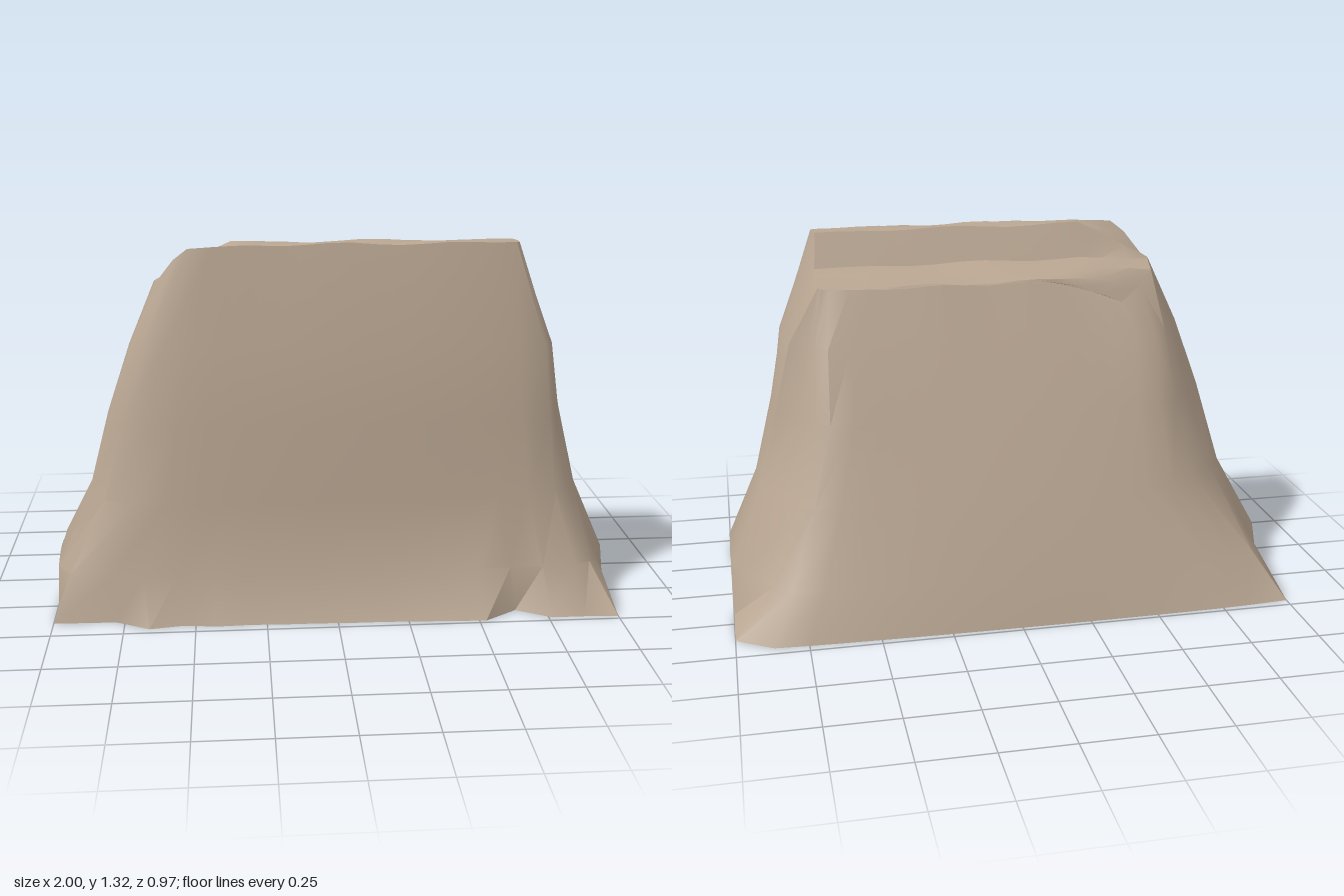
import * as THREE from 'three';
import { mergeVertices, toCreasedNormals } from 'three/addons/utils/BufferGeometryUtils.js';

const COLS = 14;
const HEIGHTS = [0, 0.16, 0.42, 0.7, 0.95, 1.31];

// How far the middle of the front and back walls bulges past the corners, per height
const FRONT_BOW = [0, 0.01, 0.04, 0.04, 0.035, 0];
const BACK_BOW = [0.015, 0.05, 0.05, 0.015, 0.005, 0.015];

// End outlines from front corner to back corner, one row per height: [x, z, own height if different]
const RIGHT = [
  [[.88, .475], [1, .48], [1, .27], [1, .2, .155], [1, .05, .16], [1, -.1, .155], [1, -.175], [1, -.38], [.87, -.46]],
  [[.86, .385], [.92, .35], [.96, .28], [1, .2], [1, .05], [1, -.1], [.96, -.17], [.86, -.31], [.8, -.37]],
  [[.79, .33], [.84, .3], [.87, .25], [.885, .2], [.885, .1], [.87, 0], [.8, -.14], [.75, -.23], [.7, -.27]],
  [[.76, .312], [.785, .29], [.805, .25], [.815, .21], [.82, .1], [.81, 0], [.73, -.08], [.68, -.16], [.63, -.2]],
  [[.74, .297], [.76, .28], [.77, .25], [.77, .2], [.77, .1], [.75, 0], [.69, -.03], [.66, -.065], [.62, -.1]],
  [[.63, .265], [.64, .255], [.64, .22], [.63, .19], [.64, .13, 1.19], [.65, .05, 1.175], [.64, 0, 1.15], [.63, -.005, 1.145], [.6, -.01, 1.14]],
];
const LEFT = [
  [[-.78, .405], [-1, .4], [-1, .25], [-1, .12], [-1, .05, .165], [-1, -.1, .155], [-1, -.18], [-1, -.465], [-.85, -.475]],
  [[-.8, .385], [-.94, .34], [-.99, .26], [-1, .12], [-1, .05], [-1, -.1], [-.95, -.18], [-.9, -.35], [-.82, -.39]],
  [[-.7, .345], [-.81, .3], [-.87, .25], [-.875, .15], [-.875, .05], [-.86, -.05], [-.8, -.14], [-.7, -.24], [-.6, -.29]],
  [[-.65, .325], [-.74, .29], [-.79, .24], [-.8, .15], [-.8, .06], [-.78, 0], [-.72, -.07], [-.65, -.15], [-.57, -.2]],
  [[-.6, .305], [-.67, .28], [-.71, .24], [-.715, .15], [-.71, .08], [-.68, .02], [-.63, -.04], [-.58, -.08], [-.5, -.105]],
  [[-.5, .265, 1.3], [-.55, .25, 1.26], [-.61, .22, 1.18], [-.62, .16, 1.175], [-.61, .12, 1.17], [-.6, .05, 1.15], [-.55, .02, 1.1], [-.47, -.02, 1.05], [-.37, -.01, 1.1]],
];
// Hem of the front face, flared except at the tucks
const FRONT_HEM = [.405, .47, .45, .465, .46, .465, .465, .47, .47, .475, .48, .485, .405, .475, .475];

const lift = ([x, z, y], level) => new THREE.Vector3(x, y ?? HEIGHTS[level], z);

// A row of points from the left end to the right end
function crossRow(level, k) {
  const a = lift(LEFT[level][k], level), b = lift(RIGHT[level][k], level);
  const top = level === HEIGHTS.length - 1;
  return Array.from({ length: COLS + 1 }, (_, i) => {
    const t = i / COLS;
    const p = a.clone().lerp(b, t);
    const inner = Math.sin(Math.PI * t);
    const bow = Math.pow(Math.max(inner, 0), 0.6);
    if (top) {
      // The ridge and shelf level out soon after the left end
      const s = Math.min(1, t / 0.2);
      p.y = a.y + (b.y - a.y) * s + 0.006 * Math.sin(t * 17 + k * 1.3) * inner;
      p.z = a.z + (b.z - a.z) * s;
    }
    if (k === 0) p.z = level === 0 ? FRONT_HEM[i] : p.z + FRONT_BOW[level] * bow;
    if (k > 6) p.z -= BACK_BOW[level] * bow;
    return p;
  });
}

// Closed outline of the walls at one level
function wallLoop(level) {
  const right = RIGHT[level].slice(1, -1).map((p) => lift(p, level));
  const left = LEFT[level].slice(1, -1).map((p) => lift(p, level)).reverse();
  const front = crossRow(level, 0), back = crossRow(level, 8).reverse();
  return [...front, ...right, ...back, ...left, front[0].clone()];
}

// Skin neighbouring rows of points into one sheet
function skin(rows) {
  const w = rows[0].length, index = [];
  for (let r = 0; r < rows.length - 1; r++) {
    for (let c = 0; c < w - 1; c++) {
      const a = r * w + c, b = a + 1, d = a + w, e = d + 1;
      index.push(a, b, e, a, e, d);
    }
  }
  const g = new THREE.BufferGeometry().setFromPoints(rows.flat());
  g.setIndex(index);
  return toCreasedNormals(mergeVertices(g, 1e-4), 0.6);
}

export function createModel() {
  const group = new THREE.Group();
  group.name = 'drapedCover';
  const cloth = new THREE.MeshStandardMaterial({ color: 0xb9a692, side: THREE.DoubleSide });
  cloth.name = 'beige cloth';

  // Flared walls, open below, with arched ends
  const walls = new THREE.Mesh(skin(HEIGHTS.map((_, i) => wallLoop(i))), cloth);
  walls.name = 'walls';

  // Raised front ridge stepping down to the shelf behind
  const topRows = RIGHT[0].map((_, k) => crossRow(HEIGHTS.length - 1, k));
  const top = new THREE.Mesh(skin(topRows), cloth);
  top.name = 'ridgeAndShelf';

  group.add(walls, top);
  return group;
}
